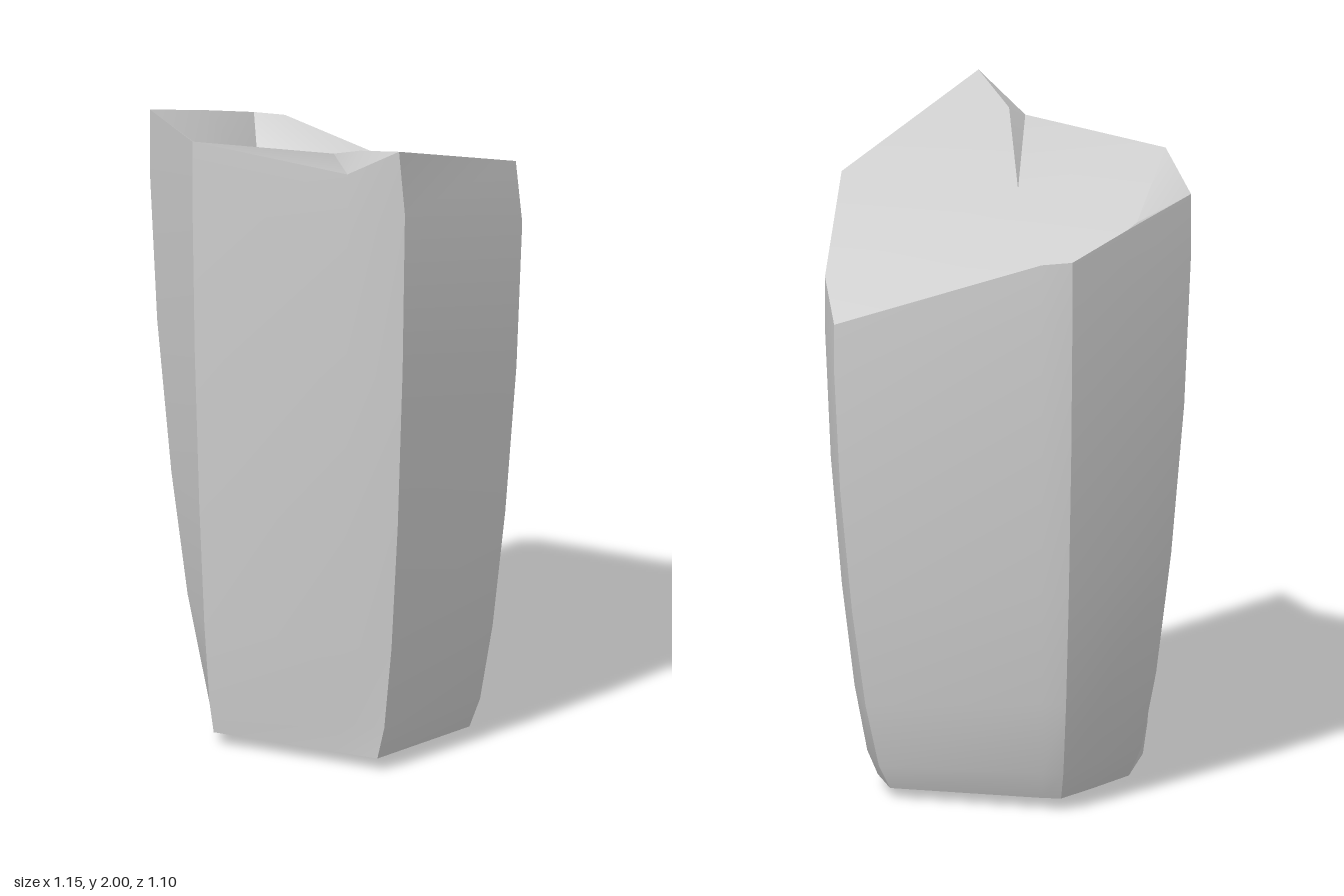
import * as THREE from 'three';
import { toCreasedNormals } from 'three/addons/utils/BufferGeometryUtils.js';

// Corner columns, counterclockwise from above.
// rim: [x, y, z] of the broken top; foot: [x, z] at the base; body: [x, z] the shaft swells towards
const columns = [
  { rim: [0.30, 2.00, 0.55], foot: [0.20, 0.365], body: [0.315, 0.535], zPow: 1.7 },
  { rim: [0.55, 1.81, 0.00], foot: [0.41, 0.00], body: [0.575, 0.03] },
  { rim: [0.48, 1.59, -0.38], foot: [0.36, -0.24] },
  { rim: [0.40, 1.49, -0.54], foot: [0.28, -0.37] },
  { rim: [-0.25, 1.73, -0.55], foot: [-0.19, -0.355] },
  { rim: [-0.34, 1.74, -0.53], foot: [-0.245, -0.345] },
  { rim: [-0.45, 1.80, -0.34], foot: [-0.30, -0.21] },
  { rim: [-0.578, 1.865, -0.12], foot: [-0.36, -0.045] },
  { rim: [-0.38, 1.895, 0.25], foot: [-0.325, 0.20] },
  { rim: [0.13, 1.895, 0.475], foot: [0.07, 0.32], zPow: 1.5 },
];

// [fraction of height, fraction of swelling]
const levels = [[0.02, 0], [0.07, 0.2], [0.2, 0.44], [0.4, 0.68], [0.65, 0.89], [0.9, 1], [1, 1]];

function creased(points, faces, angle) {
  const g = new THREE.BufferGeometry();
  g.setAttribute('position', new THREE.Float32BufferAttribute(points.flat(), 3));
  g.setIndex(faces.flat());
  return toCreasedNormals(g, angle);
}

function ring([u, f]) {
  return columns.map(({ rim, foot, body = [rim[0], rim[2]], zPow = 1 }) => u === 1 ? rim : [
    THREE.MathUtils.lerp(foot[0], body[0], f),
    rim[1] * u,
    THREE.MathUtils.lerp(foot[1], body[1], Math.pow(f, zPow)),
  ]);
}

export function createModel() {
  const group = new THREE.Group();
  group.name = 'rockColumn';
  const stone = new THREE.MeshStandardMaterial({ color: 0xcccccc });
  stone.name = 'greyStone';
  const add = (name, geometry) => {
    const mesh = new THREE.Mesh(geometry, stone);
    mesh.name = name;
    group.add(mesh);
  };
  const n = columns.length;

  // Faceted shaft
  const wall = [];
  for (let j = 0; j < levels.length - 1; j++) {
    for (let i = 0; i < n; i++) {
      const a = j * n + i, b = j * n + (i + 1) % n;
      wall.push([a, b, b + n, a, b + n, a + n]);
    }
  }
  add('shaft', creased(levels.flatMap(ring), wall, 0.5));

  // Slanted broken top with raised back corner and a notch at the front
  const [A, B, C, D, E, H, Q, W, F, N, M, P, K, R, G] = Array.from({ length: 15 }, (_, i) => i);
  const inner = [
    [0, 1.80, 0], [-0.30, 1.57, -0.40], [-0.40, 1.755, -0.09], [0.10, 1.56, -0.42], [0.15, 1.94, 0.38],
  ];
  add('brokenTop', creased([...columns.map((c) => c.rim), ...inner], [
    [M, F, N], [M, N, G], [G, N, A], [M, G, A], [M, A, B], [M, B, C], [M, C, R], [R, C, D], [R, D, E],
    [R, E, P], [P, E, H], [P, H, Q], [P, Q, K], [K, Q, W], [K, W, F], [M, K, F], [M, R, P], [M, P, K],
  ], 0.7));

  // Shallow rounded underside
  const base = columns.map((_, i) => [n, (i + 1) % n, i]);
  add('underside', creased([...ring(levels[0]), [0, 0, -0.1]], base, 0.5));

  return group;
}
